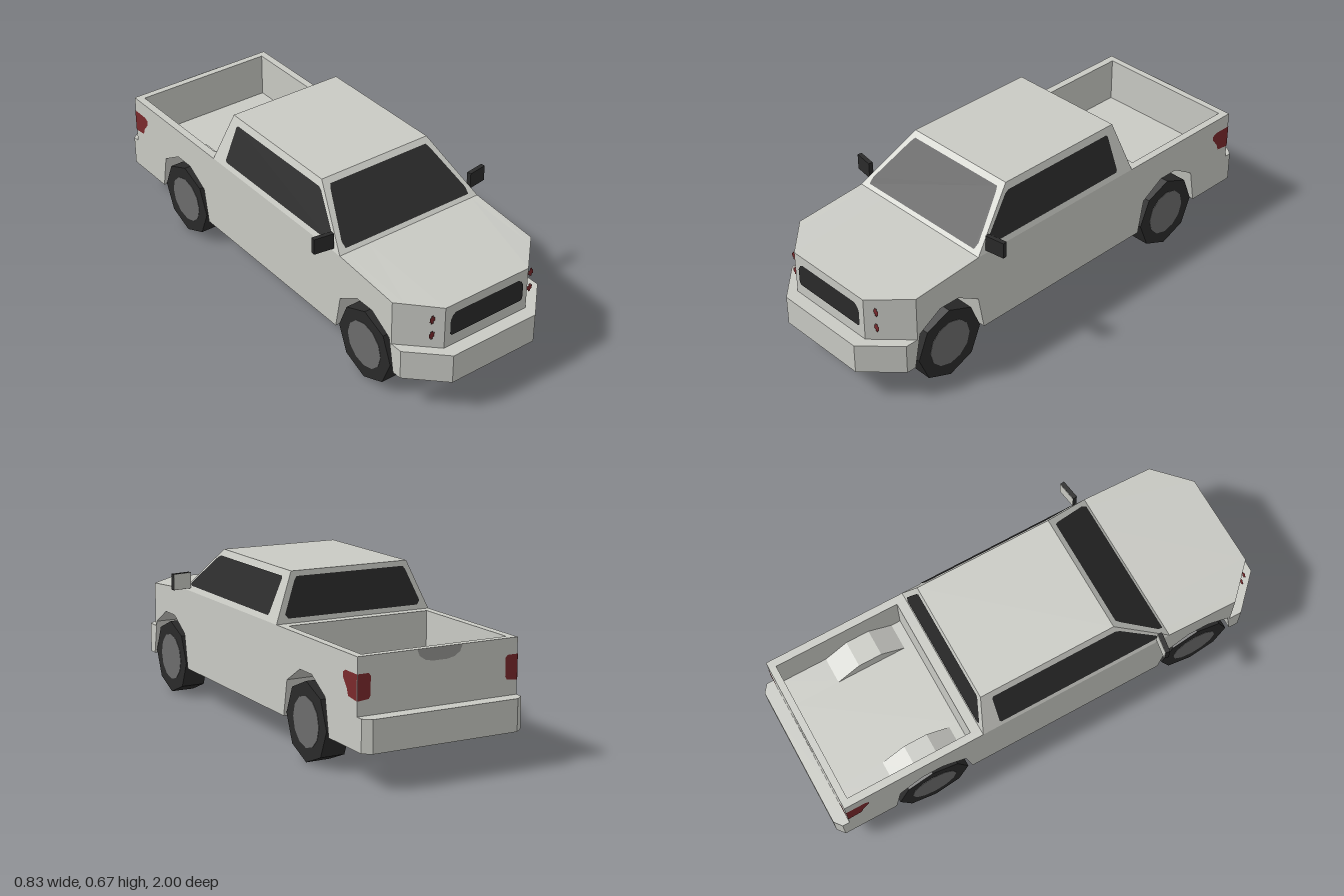
import * as THREE from 'three';

const mat = (name, color, side = THREE.FrontSide) =>
  Object.assign(new THREE.MeshStandardMaterial({ color, side }), { name });

export function createModel() {
  const paint = mat('bodyPaint', 0xc9cac4);
  const black = mat('blackTrim', 0x2a2a2a, THREE.DoubleSide);
  const grey = mat('wheelGrey', 0x6c6c6c);
  const shade = mat('recessGrey', 0x979793, THREE.DoubleSide);
  const chassis = mat('chassisGrey', 0x545454);
  const red = mat('lampRed', 0x7a292c, THREE.DoubleSide);
  const model = new THREE.Group();
  model.name = 'pickupTruck';

  const add = (name, geometry, material, parent = model) => {
    const flat = geometry.index ? geometry.toNonIndexed() : geometry;
    flat.computeVertexNormals();
    const mesh = new THREE.Mesh(flat, material);
    mesh.name = name;
    parent.add(mesh);
    return mesh;
  };
  const fromPoints = (pts) => new THREE.BufferGeometry().setAttribute(
    'position', new THREE.Float32BufferAttribute(pts.flat(), 3));

  // flat painted plate: 2D outline placed in space by a mapping rule
  const plate = (name, outline, place, material) => {
    const p = outline.map(([a, b]) => place(a, b));
    const tris = [];
    for (let i = 1; i < p.length - 1; i++) tris.push(p[0], p[i], p[i + 1]);
    return add(name, fromPoints(tris), material);
  };
  const bothSides = (half) => [...half, ...half.map(([x, y]) => [-x, y]).reverse()];

  // ---- Body: side profiles (z, y) lofted across the width ----
  const FLOOR = 0.137, BELT = 0.477, HALF = 0.337, AXLES = [-0.57, 0.65];
  const arch = (c) => [[-0.174, FLOOR], [-0.147, 0.283], [-0.045, 0.345],
    [0.045, 0.345], [0.147, 0.283], [0.174, FLOOR]].map(([z, y]) => [c + z, y]);

  // kinds: rail (no bed), well (arches and bed humps), wall (humps only), centre (plain bed)
  const profile = (x, kind) => {
    const t = Math.max(0, (Math.abs(x) - 0.2) / (HALF - 0.2)); // corner chamfer
    const d = 0.135 * t;
    const r = Math.abs(x) > 0.32 ? 0.025 : 0;
    const hump = [[-0.42, 0.288], [-0.52, 0.35], [-0.62, 0.35], [-0.72, 0.288]];
    const bed = kind === 'rail' ? [] : [[-0.38, BELT], [-0.38, 0.288],
      ...(kind === 'centre' ? [] : hump), [-0.916, 0.288], [-0.916, BELT]];
    return [
      [1 - d, FLOOR], [1 - d, 0.262], [0.945 - d, 0.262], [0.945 - d, 0.445 + 0.006 * t],
      [0.5, BELT], ...bed, [-0.945, BELT],
      [-0.945, 0.262], [-1 + r, 0.262], [-1 + r, FLOOR],
      ...(kind === 'rail' || kind === 'well' ? AXLES.flatMap(arch) : []),
    ];
  };

  const loft = (name, x0, x1, kind) => {
    const ends = [x0, x1].map((x) => profile(x, kind));
    const [a, b] = ends.map((pts, k) => pts.map(([z, y]) => [k ? x1 : x0, y, z]));
    const skin = [], under = [];
    a.forEach((p, i) => {
      const j = (i + 1) % a.length;
      const list = p[1] === FLOOR && a[j][1] === FLOOR ? under : skin;
      list.push(p, b[i], b[j], p, b[j], a[j]);
    });
    ends.forEach((pts, k) => {
      const contour = pts.map(([z, y]) => new THREE.Vector2(z, y));
      for (const f of THREE.ShapeUtils.triangulateShape(contour, [])) {
        const tri = f.map((i) => (k ? b : a)[i]);
        skin.push(...(k ? tri.reverse() : tri));
      }
    });
    add(name, fromPoints(skin), paint);
    add(name + 'Underside', fromPoints(under), chassis);
  };
  loft('rightBodySide', -HALF, -0.305, 'rail');
  loft('rightWheelHousing', -0.305, -0.2, 'well');
  loft('rightHousingWall', -0.2, -0.192, 'wall');
  loft('bodyCentre', -0.192, 0.192, 'centre');
  loft('leftHousingWall', 0.192, 0.2, 'wall');
  loft('leftWheelHousing', 0.2, 0.305, 'well');
  loft('leftBodySide', 0.305, HALF, 'rail');

  // ---- Cab: tapered box ----
  const ROOF = 0.67;
  const rise = (y) => (y - BELT) / (ROOF - BELT);
  const cabX = (y) => HALF - 0.082 * rise(y);
  const cabFront = (y) => 0.5 - 0.22 * rise(y);
  const cabBack = (y) => -0.34 + 0.037 * rise(y);
  const cab = new THREE.BoxGeometry(2, 2, 2);
  const pos = cab.attributes.position;
  for (let i = 0; i < pos.count; i++) {
    const y = pos.getY(i) > 0 ? ROOF : BELT;
    pos.setXYZ(i, pos.getX(i) * cabX(y), y, pos.getZ(i) > 0 ? cabFront(y) : cabBack(y));
  }
  add('cab', cab, paint);

  // ---- Windows ----
  plate('windshield', bothSides([[0.232, 0.654], [0.243, 0.638], [0.303, 0.51], [0.3, 0.491]]),
    (x, y) => [x, y, cabFront(y) + 0.004], black);
  plate('rearWindow', bothSides([[0.235, 0.65], [0.246, 0.635], [0.298, 0.512], [0.286, 0.496]]),
    (x, y) => [x, y, cabBack(y) - 0.003], black);
  const sideWindow = [[-0.255, 0.645], [0.28, 0.645], [0.3, 0.636], [0.442, 0.516],
    [0.448, 0.506], [0.435, 0.499], [-0.255, 0.499], [-0.262, 0.507], [-0.262, 0.638]];

  // ---- Grille and tailgate handle ----
  plate('grille', bothSides([[0.152, 0.41], [0.165, 0.401], [0.176, 0.382], [0.176, 0.32], [0.168, 0.311]]),
    (x, y) => [x, y, 0.948], black);
  plate('tailgateHandle', bothSides([[0.095, 0.476], [0.085, 0.452], [0.06, 0.436], [0.03, 0.43]]),
    (x, y) => [x, y, -0.948], shade);

  const tailSide = [[-0.945, 0.415], [-0.865, 0.415], [-0.848, 0.405], [-0.848, 0.387],
    [-0.876, 0.352], [-0.885, 0.325], [-0.945, 0.318]];
  const tailRear = [[HALF, 0.415], [0.292, 0.415], [0.284, 0.405], [0.284, 0.335],
    [0.292, 0.322], [HALF, 0.318]];

  for (const s of [-1, 1]) {
    const side = s > 0 ? 'left' : 'right';
    plate(side + 'SideWindow', sideWindow, (z, y) => [s * (cabX(y) + 0.003), y, z], black);

    // tail lamp wrapping round the rear corner
    plate(side + 'TailLampSide', tailSide, (z, y) => [s * (HALF + 0.002), y, z], red);
    plate(side + 'TailLampRear', tailRear, (x, y) => [s * x, y, -0.947], red);

    // cross-shaped lamps facing forward at the chamfered corner
    for (const y of [0.395, 0.324]) {
      for (const [w, h] of [[0.012, 0.009], [0.0055, 0.018]]) {
        plate(side + 'FrontLamp', [[-w, -h], [w, -h], [w, h], [-w, h]],
          (dx, dy) => [s * (0.239 + dx), y + dy, 0.919], red);
      }
    }

    // door mirror with a pale rear face
    const mirror = new THREE.Group();
    mirror.name = side + 'Mirror';
    mirror.position.set(s * 0.374, 0.5215, 0.445);
    mirror.rotation.y = s * 0.15;
    model.add(mirror);
    add('mirrorHousing', new THREE.BoxGeometry(0.084, 0.067, 0.018), black, mirror);
    add('mirrorFace', new THREE.BoxGeometry(0.082, 0.065, 0.002), paint, mirror).position.z = -0.0095;

    for (const z of AXLES) {
      // shaded inner wall of the wheel arch
      plate(side + 'ArchLining', arch(z), (az, y) => [s * 0.203, y, az], shade);

      // wheel
      const wheel = new THREE.Group();
      wheel.name = side + (z > 0 ? 'FrontWheel' : 'RearWheel');
      wheel.position.set(s * 0.285, 0.155, z);
      model.add(wheel);
      add('tyre', new THREE.CylinderGeometry(0.155, 0.155, 0.1, 8).rotateZ(Math.PI / 2), black, wheel);
      add('hub', new THREE.CylinderGeometry(0.099, 0.099, 0.004, 12).rotateZ(Math.PI / 2), grey, wheel)
        .position.x = s * 0.0495;
    }
  }
  return model;
}
